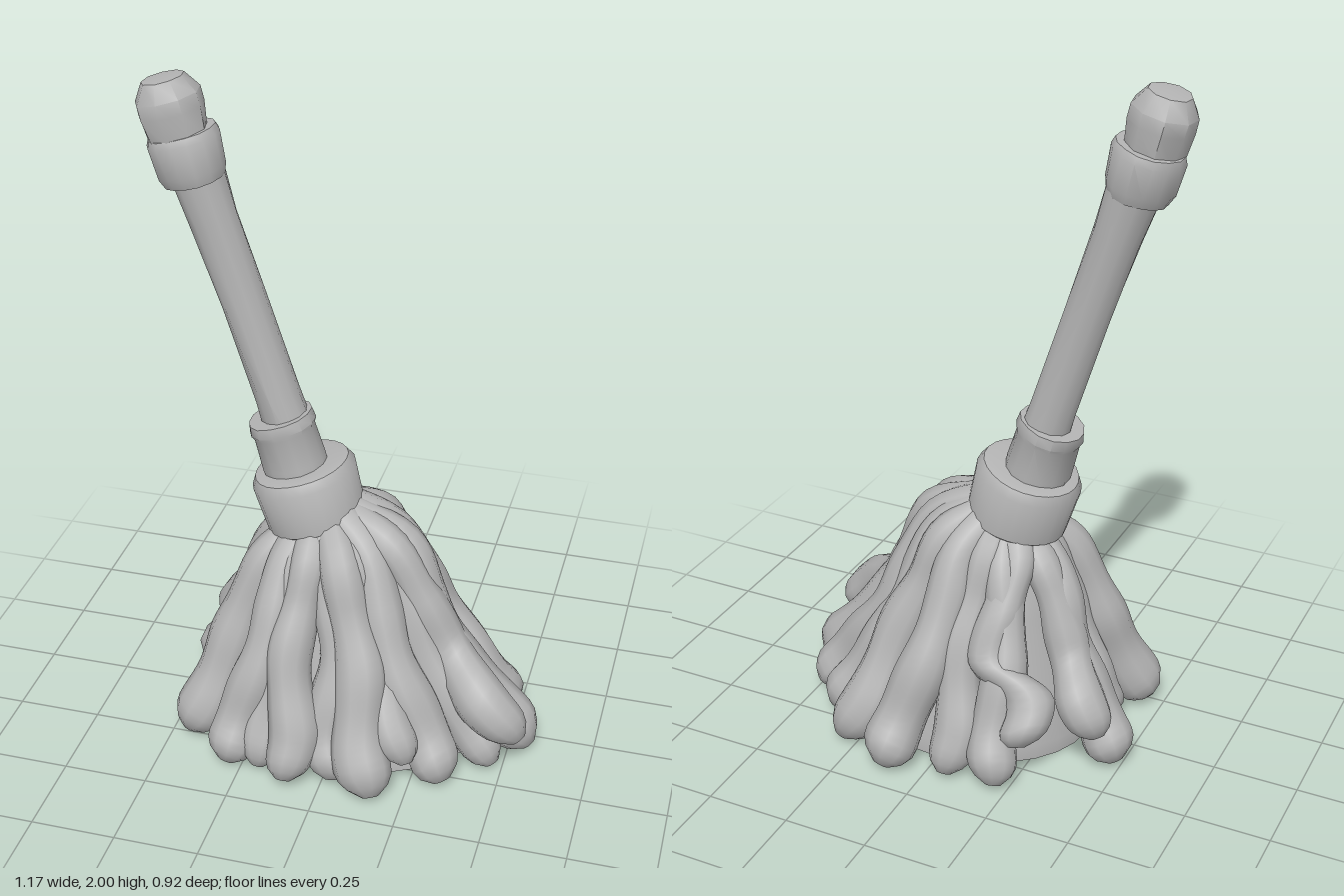
import * as THREE from 'three';
import { toCreasedNormals } from 'three/addons/utils/BufferGeometryUtils.js';

const grey = new THREE.MeshStandardMaterial({ color: 0xb4b4b4 });
grey.name = 'plain grey';

// Lathe part tilted with the handle; dent roughens its surface.
function turned(name, profile, x, y, z, tilt, sides, dent) {
  let geo = new THREE.LatheGeometry(profile.map(([r, h]) => new THREE.Vector2(r, h)), sides);
  const p = geo.attributes.position;
  for (let i = 0; i < p.count; i++) {
    const a = Math.atan2(p.getZ(i), p.getX(i)), h = p.getY(i);
    const k = 1 + dent * (Math.sin(3 * a + h * 17) + 0.6 * Math.sin(5 * a - h * 31));
    p.setXYZ(i, p.getX(i) * k, h, p.getZ(i) * k);
  }
  geo = toCreasedNormals(geo, 0.75);
  const mesh = new THREE.Mesh(geo, grey);
  mesh.name = name;
  mesh.position.set(x, y, z);
  mesh.rotation.z = tilt;
  return mesh;
}

// One yarn strand: leaves the collar, droops over a shoulder and splays on the floor.
function strand(tipX, tipZ, tipY, radius, wave, n) {
  const cx = -0.09, dx = tipX - cx, reach = Math.hypot(dx, tipZ);
  const out = new THREE.Vector3(dx / reach, 0, tipZ / reach);
  const side = new THREE.Vector3(-out.z, 0, out.x);
  const knee = 0.56 + 0.07 * Math.abs(out.z);
  // Distance from the centre, height, sideways share of the wave
  const steps = [[0.07, 0.685 + 0.035 * out.x, 0], [0.35 * reach, 0.62 + 0.03 * out.x, 0.2],
    [0.47 * reach, 0.5, -0.4], [knee * reach, 0.35, -1],
    [0.8 * reach, 0.12 + tipY * 0.9, 0.6], [0.97 * reach, tipY, 0]];
  const path = new THREE.CatmullRomCurve3(steps.map(([r, y, w]) =>
    new THREE.Vector3(cx, y, 0).addScaledVector(out, r).addScaledVector(side, w * wave)));
  const rings = 30, sides = 10, pos = [], index = [];
  const normal = new THREE.Vector3(), v = new THREE.Vector3();
  for (let i = 0; i <= rings; i++) {
    const t = i / rings, c = path.getPointAt(t);
    normal.crossVectors(path.getTangentAt(t), side).normalize();
    const cap = t > 0.9 ? Math.sqrt(Math.max(0.1, 1 - ((t - 0.9) / 0.1) ** 2)) : 1;
    const swell = 0.75 + 0.25 * THREE.MathUtils.smoothstep(t, 0.1, 0.85);
    const r = radius * swell * cap * (1 + 0.06 * Math.sin(t * 19 + n * 2.3));
    for (let j = 0; j < sides; j++) {
      const a = (j / sides) * Math.PI * 2;
      v.copy(c).addScaledVector(normal, r * Math.cos(a)).addScaledVector(side, r * Math.sin(a));
      pos.push(v.x, Math.max(0, v.y), v.z);
      if (i < rings) {
        const k = (j + 1) % sides, b = i * sides, d = b + sides;
        index.push(b + j, d + j, b + k, d + j, d + k, b + k);
      }
    }
  }
  // Close the tip
  const last = rings * sides;
  for (let j = 1; j < sides - 1; j++) index.push(last, last + j + 1, last + j);
  const geo = new THREE.BufferGeometry();
  geo.setAttribute('position', new THREE.Float32BufferAttribute(pos, 3));
  geo.setIndex(index);
  geo.computeVertexNormals();
  const mesh = new THREE.Mesh(geo, grey);
  mesh.name = 'strand' + n;
  return mesh;
}

export function createModel() {
  const mop = new THREE.Group();
  mop.name = 'mop';

  // Leaning handle with its grip and ferrules
  mop.add(turned('pole', [[0.075, 0], [0.066, 0.2], [0.065, 0.5], [0.068, 0.75], [0.08, 0.96]],
    -0.165, 0.88, -0.005, 0.312, 12, 0.03));
  mop.add(turned('gripEnd', [[0.082, 0], [0.092, 0.08], [0.092, 0.12], [0.06, 0.168], [0, 0.174]],
    -0.478, 1.825, 0.015, 0.24, 9, 0.02));
  mop.add(turned('gripRing', [[0.06, -0.07], [0.085, -0.07], [0.096, -0.04], [0.102, 0.05], [0.094, 0.07], [0.06, 0.07]],
    -0.458, 1.775, 0.005, 0.25, 14, 0.025));
  mop.add(turned('ferrule', [[0.09, -0.14], [0.096, -0.06], [0.092, 0.04], [0.099, 0.055], [0.094, 0.085], [0.05, 0.085]],
    -0.195, 0.925, 0, 0.28, 14, 0.02));
  mop.add(turned('collar', [[0, -0.095], [0.13, -0.095], [0.147, -0.08], [0.155, 0.06], [0.14, 0.088], [0.115, 0.094], [0, 0.08]],
    -0.133, 0.768, 0, 0.27, 24, 0.006));

  // Solid core behind the strands, flat on the floor and leaning toward the collar
  const coreGeo = new THREE.LatheGeometry([[0, 0], [0.3, 0], [0.3, 0.05], [0.25, 0.22], [0.2, 0.42], [0.15, 0.58], [0.08, 0.69]]
    .map(([r, y]) => new THREE.Vector2(r, y)), 28);
  const p = coreGeo.attributes.position;
  for (let i = 0; i < p.count; i++) {
    const y = p.getY(i);
    p.setX(i, p.getX(i) * (1.25 - 0.35 * y) + 0.03 - 0.17 * y);
  }
  const core = new THREE.Mesh(toCreasedNormals(coreGeo, 0.8), grey);
  core.name = 'core';
  mop.add(core);

  // Strands: tip x, tip z, tip height, radius, sideways wave
  const strands = new THREE.Group();
  strands.name = 'strands';
  [
    [0.13, -0.44, 0.02, 0.08, 0.02], [0.31, -0.36, 0.02, 0.078, -0.02],
    [0.5, -0.13, 0.03, 0.08, 0.03], [0.58, 0.06, 0.02, 0.08, -0.02],
    [0.57, 0.19, 0.13, 0.075, 0.035], [0.36, 0.3, 0.02, 0.08, -0.02],
    [0.17, 0.43, 0.02, 0.08, 0.02], [-0.1, 0.435, 0.03, 0.075, -0.025],
    [-0.3, 0.38, 0.02, 0.075, 0.02], [-0.46, 0.26, 0.02, 0.08, -0.01],
    [-0.4, 0.09, 0.03, 0.07, 0.015], [-0.5, -0.12, 0.02, 0.075, -0.015],
    [-0.47, -0.2, 0.14, 0.07, 0.02], [-0.28, -0.36, 0.15, 0.075, -0.07],
    [-0.22, -0.39, 0.02, 0.07, 0.02], [-0.06, -0.4, 0.02, 0.07, -0.02],
    [0.04, 0.38, 0.02, 0.07, 0.03], [0.26, 0.35, 0.1, 0.06, 0.02],
    [0.48, -0.02, 0.02, 0.07, 0.02], [0.41, -0.22, 0.02, 0.075, 0.01],
    [-0.2, 0.38, 0.02, 0.065, 0.02], [0.49, 0.18, 0.02, 0.07, -0.01],
  ].forEach((s, i) => strands.add(strand(...s, i + 1)));
  mop.add(strands);
  return mop;
}
